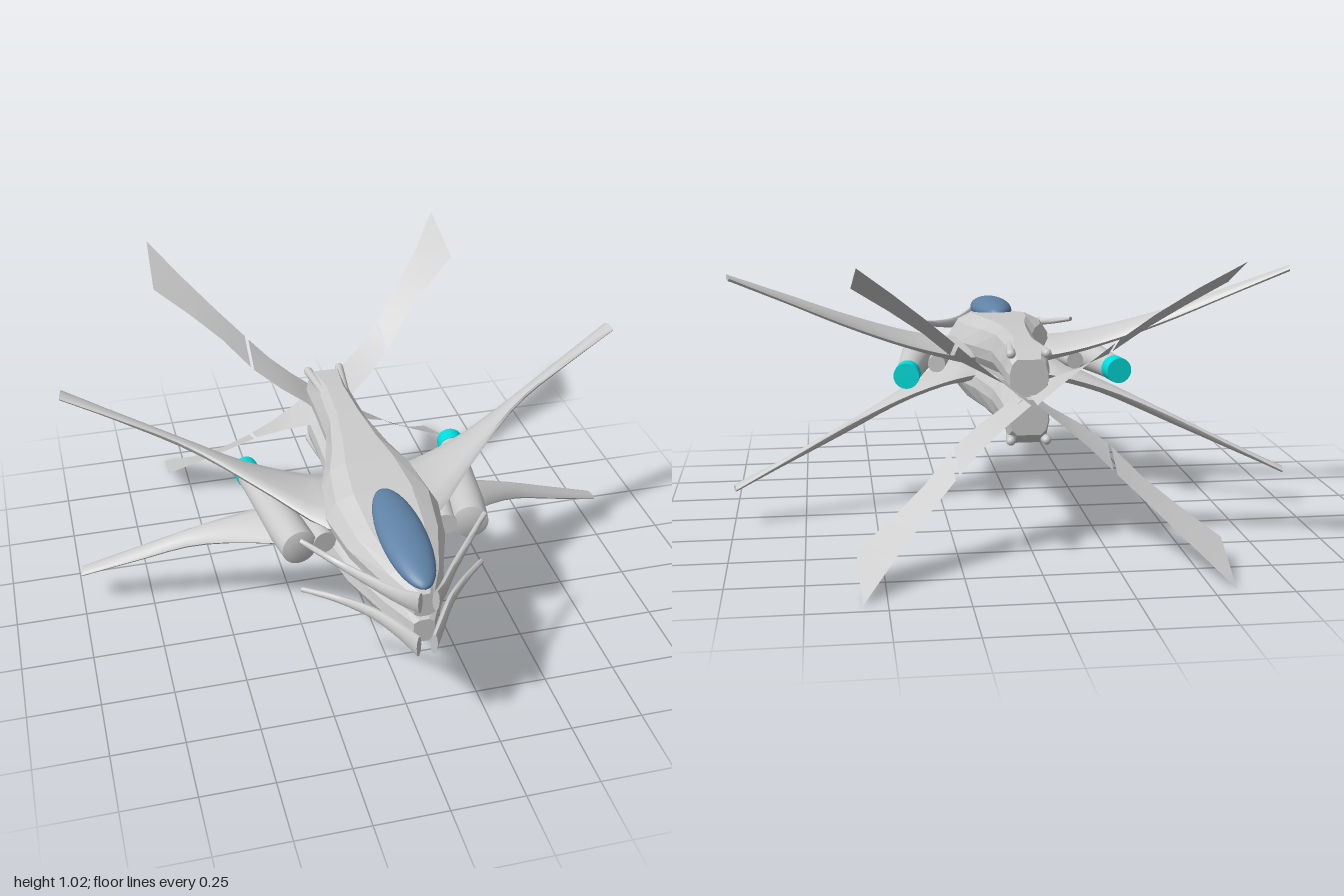
import * as THREE from 'three';
import { toCreasedNormals } from 'three/addons/utils/BufferGeometryUtils.js';

const MID = 0.512; // height of the horizontal mirror plane
const grey = new THREE.MeshStandardMaterial({ color: 0xcccccc });
const faceted = new THREE.MeshStandardMaterial({ color: 0xcccccc, flatShading: true });
const thin = new THREE.MeshStandardMaterial({ color: 0xcccccc, side: THREE.DoubleSide });
const glass = new THREE.MeshStandardMaterial({ color: 0x5f82a6 });
const glow = new THREE.MeshStandardMaterial({ color: 0x00dddd });

// Joins equal rings of [x, y, z] points into a closed skin, facing outwards
function loft(rings, crease = 0.7) {
  const n = rings[0].length, pos = rings.flat(2), idx = [];
  for (let i = 0; i < rings.length - 1; i++)
    for (let j = 0; j < n; j++) {
      const a = i * n + j, b = i * n + (j + 1) % n;
      idx.push(a, b, a + n, b, b + n, a + n);
    }
  [0, rings.length - 1].forEach((r, end) => {
    const c = pos.length / 3;
    for (let k = 0; k < 3; k++) pos.push(rings[r].reduce((s, p) => s + p[k], 0) / n);
    for (let j = 0; j < n; j++) {
      const a = r * n + j, b = r * n + (j + 1) % n;
      if (end) idx.push(a, b, c); else idx.push(b, a, c);
    }
  });
  // a negative volume means the skin is inside out
  const v = i => new THREE.Vector3().fromArray(pos, idx[i] * 3);
  let volume = 0;
  for (let i = 0; i < idx.length; i += 3) volume += v(i).dot(v(i + 1).cross(v(i + 2)));
  if (volume < 0) idx.reverse();
  const g = new THREE.BufferGeometry();
  g.setAttribute('position', new THREE.Float32BufferAttribute(pos, 3));
  g.setIndex(idx);
  return toCreasedNormals(g, crease);
}

// Thin sheet between a leading and a trailing edge
function sheet(lead, trail) {
  const pos = [], idx = [];
  lead.forEach((p, i) => {
    pos.push(...p, ...trail[i]);
    const a = i * 2;
    if (i) idx.push(a - 2, a, a - 1, a, a + 1, a - 1);
  });
  const g = new THREE.BufferGeometry();
  g.setAttribute('position', new THREE.Float32BufferAttribute(pos, 3));
  g.setIndex(idx);
  g.computeVertexNormals();
  return g;
}

// Smooth interpolation through rows of numbers, taken three at a time
function smoothRows(rows, steps) {
  const parts = [];
  for (let k = 0; k < rows[0].length; k += 3) {
    const c = new THREE.CatmullRomCurve3(rows.map(r => new THREE.Vector3(r[k], r[k + 1], r[k + 2])));
    parts.push(Array.from({ length: steps + 1 }, (_, i) => c.getPoint(i / steps).toArray()));
  }
  return parts[0].map((_, i) => parts.flatMap(p => p[i]));
}

// Copies a quarter-model geometry to the other sides
function reflect(geometry, sx, sy) {
  const g = geometry.clone().translate(0, -MID, 0).scale(sx, sy, 1).translate(0, MID, 0);
  if (sx * sy < 0) {
    for (const name of ['position', 'normal']) {
      const a = g.index ? null : g.attributes[name];
      if (!a) continue;
      for (let i = 0; i < a.count; i += 3)
        for (let k = 0; k < 3; k++) {
          const t = a.getComponent(i + 1, k);
          a.setComponent(i + 1, k, a.getComponent(i + 2, k));
          a.setComponent(i + 2, k, t);
        }
    }
    if (g.index) g.setIndex(Array.from(g.index.array).reverse());
  }
  return g;
}

export function createModel() {
  const model = new THREE.Group();
  const add = (name, g, mat) => {
    const m = new THREE.Mesh(g, mat);
    m.name = name;
    model.add(m);
    return m;
  };
  const both = (name, g, mat) => {
    add(name + 'Left', g, mat);
    add(name + 'Right', reflect(g, -1, 1), mat);
  };
  const four = (name, g, mat) => {
    both('upper' + name, g, mat);
    both('lower' + name, reflect(g, 1, -1), mat);
  };

  // Hull shells: z, half width, ridge half width, ridge height, shoulder height, keel half width
  const stations = [
    [0.92, 0.035, 0.015, 0.605, 0.57, 0.015],
    [0.8, 0.095, 0.055, 0.62, 0.57, 0.05],
    [0.6, 0.165, 0.09, 0.64, 0.575, 0.13],
    [0.42, 0.195, 0.1, 0.665, 0.58, 0.17],
    [0.25, 0.172, 0.085, 0.678, 0.585, 0.15],
    [0.12, 0.125, 0.06, 0.684, 0.59, 0.1],
    [-0.05, 0.08, 0.04, 0.69, 0.6, 0.05],
    [-0.25, 0.075, 0.03, 0.688, 0.6, 0.035],
    [-0.39, 0.075, 0.045, 0.675, 0.6, 0.03],
    [-0.43, 0.065, 0.04, 0.64, 0.59, 0.025],
  ];
  const shell = loft(stations.map(([z, w, r, top, sh, k]) => {
    const half = [[r, top], [(r + w) * 0.54, (top * 2 + sh) / 3], [w, sh], [w * 0.95, sh - 0.04], [k, MID + 0.008]];
    return [...half.map(([x, y]) => [x, y, z]), ...half.reverse().map(([x, y]) => [-x, y, z])];
  }), 0.05);
  add('upperHull', shell, faceted);
  add('lowerHull', reflect(shell, 1, -1), faceted);

  // Core between the shells
  add('hullCore', loft([[0.87, 0.02], [0.6, 0.13], [0.42, 0.17], [0.15, 0.1], [-0.1, 0.04], [-0.38, 0.025]]
    .map(([z, w]) => [[w, MID + 0.03, z], [w, MID - 0.03, z], [-w, MID - 0.03, z], [-w, MID + 0.03, z]])), faceted);

  // Tail struts along the boom
  const strut = new THREE.CapsuleGeometry(0.016, 0.17, 4, 10).rotateX(Math.PI / 2)
    .rotateY(-0.12).translate(0.05, 0.66, -0.34);
  four('TailStrut', strut, grey);

  // Canopy
  const canopy = add('canopy', new THREE.SphereGeometry(1, 32, 20), glass);
  canopy.scale.set(0.078, 0.045, 0.255);
  canopy.position.set(0, 0.645, 0.67);
  canopy.rotation.x = 0.06;

  // Wings: leading point, trailing point, thickness
  const wingRows = smoothRows([
    [0.1, 0.54, 0.5, 0.08, 0.54, 0.14, 0.07, 0, 0],
    [0.2, 0.557, 0.44, 0.2, 0.557, 0.112, 0.07, 0, 0],
    [0.37, 0.62, 0.27, 0.37, 0.605, 0.08, 0.05, 0, 0],
    [0.6, 0.72, 0.085, 0.58, 0.69, 0.02, 0.038, 0, 0],
    [0.8, 0.805, 0.01, 0.79, 0.79, -0.047, 0.028, 0, 0],
    [1.0, 0.885, -0.055, 0.988, 0.885, -0.11, 0.022, 0, 0],
  ], 16);
  const wing = loft(wingRows.map(([lx, ly, lz, tx, ty, tz, t]) =>
    Array.from({ length: 12 }, (_, i) => {
      const a = i / 12 * Math.PI * 2, f = 0.5 - 0.5 * Math.cos(a);
      return [lx + (tx - lx) * f, ly + (ty - ly) * f + Math.sin(a) * t / 2, lz + (tz - lz) * f];
    })), 0.9);
  four('Wing', wing, grey);

  // Curved nose blades: centre, half height, half thickness
  const bladeRows = smoothRows([
    [0.025, 0.598, 0.95, 0.04, 0.012, 0],
    [0.07, 0.58, 0.88, 0.03, 0.013, 0],
    [0.13, 0.572, 0.785, 0.022, 0.012, 0],
    [0.22, 0.585, 0.67, 0.014, 0.01, 0],
    [0.31, 0.61, 0.565, 0.009, 0.009, 0],
  ], 12);
  const blade = loft(bladeRows.map(([x, y, z, h, t]) =>
    Array.from({ length: 10 }, (_, i) => {
      const a = i / 10 * Math.PI * 2;
      return [x + Math.cos(a) * t * 0.8, y + Math.sin(a) * h, z + Math.cos(a) * t * 0.6];
    })), 0.9);
  four('NoseBlade', blade, grey);

  // Tail fins, each an inner and an outer panel
  four('InnerFin', sheet(
    [[0.005, MID, -0.25], [0.08, 0.56, -0.355], [0.165, 0.603, -0.41], [0.257, 0.662, -0.478]],
    [[0.01, MID, -0.55], [0.1, 0.587, -0.55], [0.18, 0.655, -0.57], [0.252, 0.723, -0.612]]), thin);
  four('OuterFin', sheet(
    [[0.268, 0.672, -0.485], [0.36, 0.76, -0.568], [0.47, 0.845, -0.642], [0.588, 0.928, -0.712]],
    [[0.264, 0.735, -0.62], [0.36, 0.825, -0.695], [0.47, 0.925, -0.81], [0.576, 1.02, -0.952]]), thin);

  // Engines, splayed outwards to the rear: radius along the axis from front to rear
  const place = g => g.rotateX(-Math.PI / 2).rotateY(-0.17).translate(0.295, MID + 0.005, 0.48);
  const lathe = pts => place(toCreasedNormals(
    new THREE.LatheGeometry(pts.map(([r, d]) => new THREE.Vector2(r, d)), 24), 0.6));
  both('engine', lathe([[0, -0.005], [0.045, 0], [0.062, 0.006], [0.063, 0.12], [0.055, 0.25], [0.048, 0.38], [0.044, 0.475], [0, 0.475]]), grey);
  both('exhaust', lathe([[0, 0.47], [0.046, 0.47], [0.046, 0.532], [0, 0.532]]), glow);
  // Slim intake tube between engine and hull
  both('intake', new THREE.CylinderGeometry(0.04, 0.032, 0.3, 20)
    .rotateX(Math.PI / 2).rotateY(-0.17).translate(0.235, MID + 0.005, 0.32), grey);

  return model;
}
